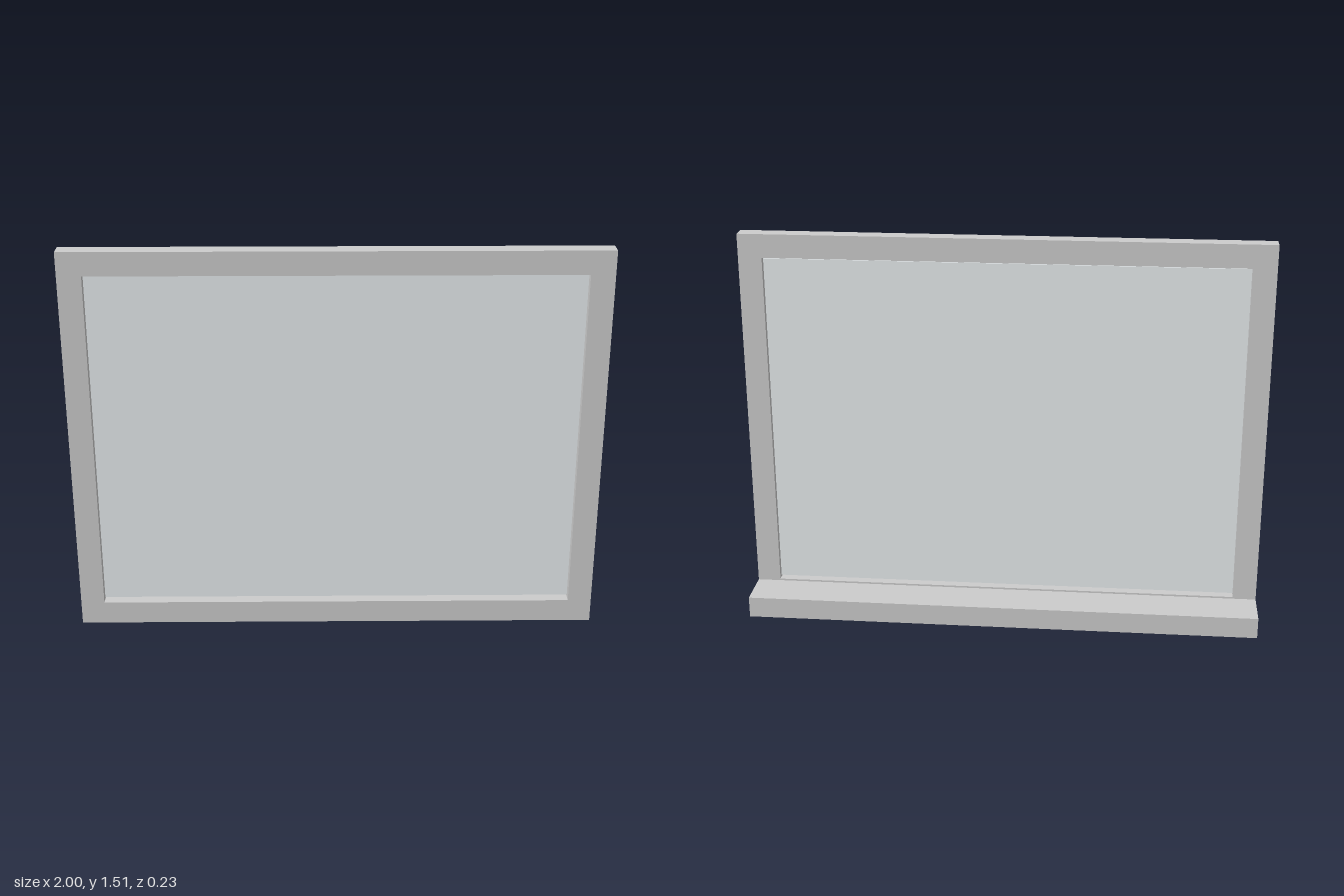
import * as THREE from 'three';

export function createModel() {
  const group = new THREE.Group();
  const grey = new THREE.MeshStandardMaterial({ color: 0xcccccc });
  const glass = new THREE.MeshStandardMaterial({ color: 0xe6ebed });

  const add = (name, geometry, material, x, y, z) => {
    const mesh = new THREE.Mesh(geometry, material);
    mesh.name = name;
    mesh.position.set(x, y, z);
    group.add(mesh);
  };

  // Closed rectangle between two corners
  const rectangle = (Type, x0, y0, x1, y1) => new Type([
    new THREE.Vector2(x0, y0), new THREE.Vector2(x1, y0),
    new THREE.Vector2(x1, y1), new THREE.Vector2(x0, y1),
  ]);

  // Window frame with a rectangular opening
  const outline = rectangle(THREE.Shape, -1, 0, 1, 1.513);
  outline.holes.push(rectangle(THREE.Path, -0.91, 0.09, 0.91, 1.423));
  const frame = new THREE.ExtrudeGeometry(outline, { depth: 0.064, bevelEnabled: false });
  add('frame', frame, grey, 0, 0, 0.05);

  // Thin pane set inside the opening, with a narrow gap above and below
  add('pane', new THREE.BoxGeometry(1.82, 1.319, 0.01), glass, 0, 0.7565, 0.077);

  // Sill projecting from the back of the frame
  add('sill', new THREE.BoxGeometry(2, 0.083, 0.164), grey, 0, 0.0415, -0.032);

  return group;
}
